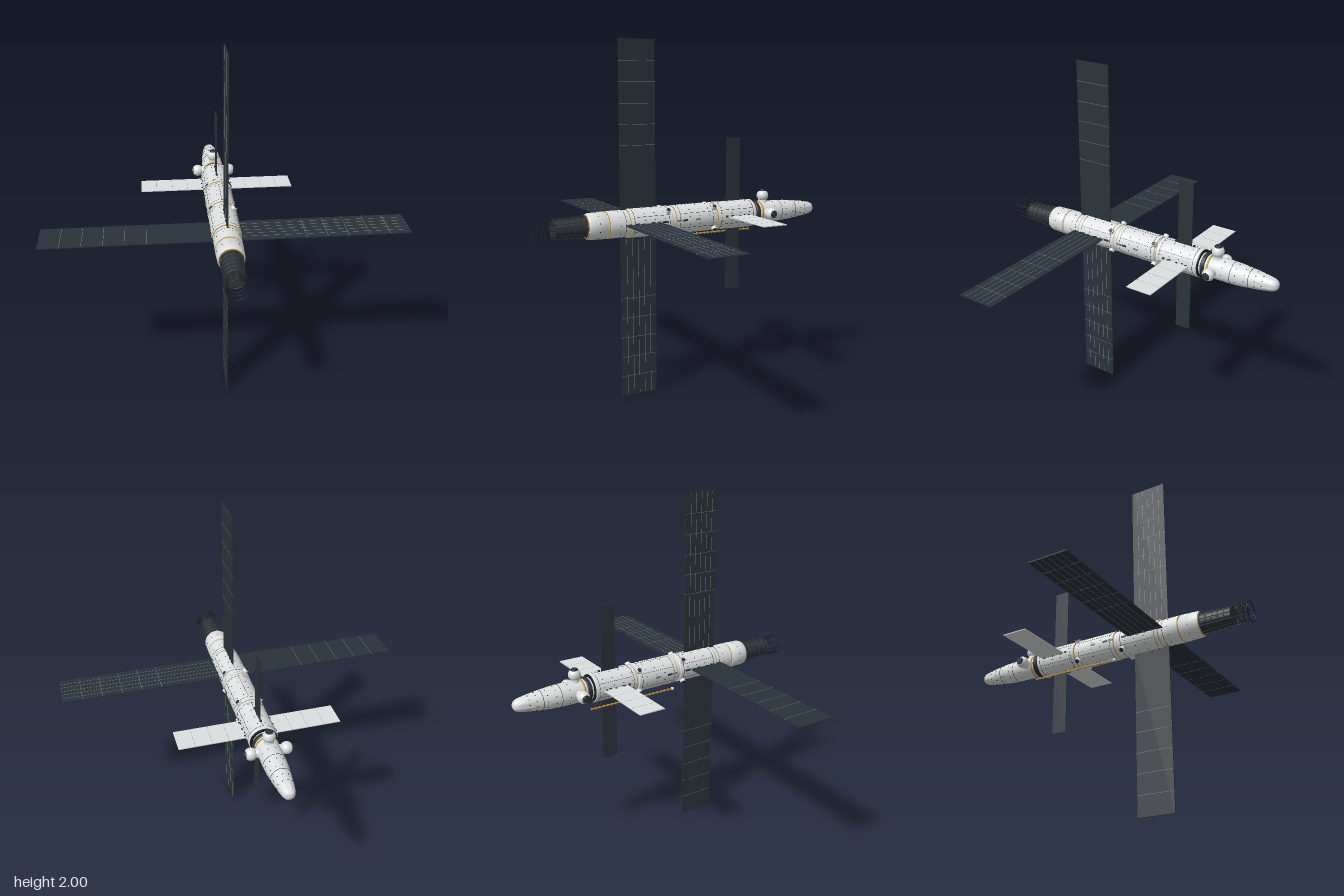
import * as THREE from 'three';
import { mergeGeometries, toCreasedNormals } from 'three/addons/utils/BufferGeometryUtils.js';

const mat = (name, color) => {
  const m = new THREE.MeshStandardMaterial({ color });
  m.name = name;
  return m;
};

export function createModel() {
  const white = mat('hullWhite', 0xdcdfdf), dark = mat('darkSlate', 0x2c3238),
    panel = mat('panelBlueBlack', 0x2a323a), line = mat('panelLine', 0x7c868a),
    gold = mat('goldTrim', 0xc0963c), black = mat('seamBlack', 0x1a1d20);

  const model = new THREE.Group();
  model.name = 'spaceStation';
  const station = new THREE.Group();
  station.name = 'station';
  station.position.y = 1;
  model.add(station);

  const add = (name, geo, m, parent = station) => {
    const mesh = new THREE.Mesh(geo, m);
    mesh.name = name;
    parent.add(mesh);
  };
  // Merge pieces, with or without an index, into one geometry
  const join = list => mergeGeometries(list.map(g => (g.index ? g.toNonIndexed() : g)));
  const box = (w, h, d, x, y, z) => new THREE.BoxGeometry(w, h, d).translate(x, y, z);
  // Surface of revolution about the z axis from [radius, z] pairs, z rising
  const turned = pts => toCreasedNormals(
    new THREE.LatheGeometry(pts.map(p => new THREE.Vector2(p[0], p[1])), 32).rotateX(Math.PI / 2), 0.6);
  const drum = (r, z0, z1, b = 0.004) =>
    turned([[0, z0], [r - b, z0], [r, z0 + b], [r, z1 - b], [r - b, z1], [0, z1]]);
  const hoop = (r, t, z) => new THREE.TorusGeometry(r, t, 6, 32).translate(0, 0, z);
  // Straight rod between two points
  const rod = (a, b, r) => new THREE.TubeGeometry(
    new THREE.LineCurve3(new THREE.Vector3(...a), new THREE.Vector3(...b)), 1, r, 5);
  // Short cylinder pointing along +x
  const stub = (rOut, rIn, h, x, z = 0) =>
    new THREE.CylinderGeometry(rOut, rIn, h, 20).rotateZ(-Math.PI / 2).translate(x, 0, z);
  // Copies of a piece set on the +x side, turned around the z axis
  const around = (make, n, start = 0) => Array.from({ length: n }, (_, i) =>
    make().rotateZ(start + i * Math.PI * 2 / n));

  // Nose with rounded tip
  add('noseModule', turned([[0, -0.89], [0.016, -0.887], [0.028, -0.878], [0.036, -0.86], [0.045, -0.81],
    [0.054, -0.74], [0.060, -0.68], [0.063, -0.62], [0.063, -0.43], [0, -0.43]]), white);
  add('noseBand', drum(0.069, -0.476, -0.45), dark);
  add('noseGoldRing', drum(0.0665, -0.497, -0.487, 0.001), gold);

  // Three main modules, each with a gold front end
  const modules = [[-0.435, -0.175], [-0.163, 0.092], [0.116, 0.372]];
  const seams = [], dots = [], trims = [];
  modules.forEach(([a, b]) => {
    add('mainModule', drum(0.082, a, b, 0.003), white);
    [a + 0.022, b - 0.022].forEach(z => seams.push(drum(0.0824, z - 0.001, z + 0.001, 0.0002)));
    trims.push(drum(0.0805, b - 0.004, b + 0.002, 0.0005));
    // Handrail studs
    for (let z = a + 0.05; z < b - 0.03; z += 0.06)
      dots.push(...around(() => box(0.002, 0.004, 0.005, 0.082, 0, z), 12, Math.PI / 12));
    // Long seams on the hull
    seams.push(...around(() => box(0.001, 0.0014, b - a - 0.05, 0.082, 0, (a + b) / 2), 6, Math.PI / 6));
  });
  add('moduleConnector', drum(0.074, -0.18, -0.16), white);
  add('moduleConnector', drum(0.076, 0.088, 0.12), white);

  // Rear service modules, stepped
  add('rearModule', drum(0.076, 0.37, 0.492), white);
  add('rearModuleRing', drum(0.069, 0.488, 0.506), white);
  add('rearModule', turned([[0, 0.5], [0.074, 0.5], [0.076, 0.504], [0.073, 0.595], [0.068, 0.608], [0, 0.608]]), white);
  trims.push(drum(0.0745, 0.488, 0.494, 0.0005), drum(0.067, 0.605, 0.61, 0.0005));
  seams.push(drum(0.0764, 0.398, 0.4, 0.0002), drum(0.0634, -0.63, -0.628, 0.0002),
    drum(0.0557, -0.735, -0.733, 0.0002), drum(0.0775, -0.441, -0.433, 0.0005));
  [[0.43, 0.076], [0.55, 0.0745], [-0.58, 0.063], [-0.66, 0.0615], [-0.71, 0.057], [-0.77, 0.0505],
    [-0.81, 0.0455]].forEach(([z, r], i) =>
    dots.push(...around(() => box(0.003, 0.004, 0.005, r, 0, z), 10, i * 0.3)));
  add('hullSeams', join(seams), black);
  add('handrails', join(dots), black);
  add('goldRings', join(trims), gold);

  // Dark engine section with hoops and rails
  add('trussCore', turned([[0, 0.6], [0.056, 0.6], [0.048, 0.79], [0, 0.79]]), dark);
  const frame = [];
  for (let i = 0; i < 6; i++) frame.push(hoop(0.061 - i * 0.0014, 0.003, 0.615 + i * 0.035));
  frame.push(...around(() => rod([0.062, 0, 0.605], [0.053, 0, 0.8], 0.0022), 10));
  add('trussFrame', join(frame), dark);
  // Open cage at the end
  const cage = [hoop(0.051, 0.002, 0.83), hoop(0.053, 0.002, 0.857), hoop(0.058, 0.0025, 0.886)];
  cage.push(...around(() => rod([0.051, 0, 0.79], [0.058, 0, 0.887], 0.0018), 10));
  add('endCage', join(cage), black);

  // Solar wings, cells on one face, same arrangement every quarter turn
  for (let q = 0; q < 4; q++) {
    const wing = new THREE.Group();
    wing.name = 'solarWing';
    wing.rotation.z = q * Math.PI / 2;
    station.add(wing);
    add('solarPanel', box(0.925, 0.006, 0.214, 0.5375, 0, 0.297), panel, wing);
    const grid = [];
    for (let i = 0; i < 5; i++) grid.push(box(0.002, 0.0068, 0.214, 0.885 - i * 0.114, 0, 0.297));
    for (let i = 1; i < 6; i++)
      grid.push(box(0.91, 0.001, 0.002, 0.5425, 0.003, 0.19 + i * 0.0355));
    add('panelGrid', join(grid), line, wing);
    add('wingHinge', join([0.21, 0.25, 0.295, 0.34, 0.38].map(z =>
      box(0.01, 0.013, 0.01, 0.087, 0, z))), dark, wing);

    // Smaller front wings: pale radiators sideways, dark panels upright
    const flat = q % 2 === 0;
    const w = flat ? 0.15 : 0.09;
    add(flat ? 'radiator' : 'smallPanel', box(0.377, 0.005, w, 0.2635, 0, -0.316), flat ? white : panel, wing);
    if (flat) add('radiatorSeams', join([0.175, 0.267, 0.36].map(x =>
      box(0.0012, 0.0056, w, x, 0, -0.316))), line, wing);
    add('smallHinge', join([-0.375, -0.316, -0.26].map(z =>
      box(0.008, 0.012, 0.01, 0.087, 0, z))), dark, wing);
  }

  // Docking spheres on the nose: left, top and right
  for (let q = 0; q < 3; q++) {
    const port = new THREE.Group();
    port.name = 'dockingPort';
    port.position.z = -0.525;
    port.rotation.z = q * Math.PI / 2;
    station.add(port);
    add('portNeck', stub(0.022, 0.028, 0.04, 0.072), white, port);
    add('portSphere', new THREE.SphereGeometry(0.035, 24, 16).translate(0.098, 0, 0), white, port);
    add('portRing', new THREE.TorusGeometry(0.02, 0.002, 6, 24).rotateY(Math.PI / 2).translate(0.127, 0, 0), black, port);
    add('portHatch', stub(0.016, 0.018, 0.006, 0.131), dark, port);
  }

  // Round thruster pods on the diagonals
  const pods = [], caps = [];
  [-0.155, 0.14].forEach(z => {
    pods.push(...around(() => stub(0.015, 0.018, 0.02, 0.086, z), 4, Math.PI / 4));
    caps.push(...around(() => stub(0.012, 0.012, 0.004, 0.0955, z), 4, Math.PI / 4));
  });
  add('thrusterPods', join(pods), white);
  add('thrusterCaps', join(caps), dark);

  // Small side windows, alternately dark and grey
  const windows = (list, name, m) => [1, -1].forEach(s =>
    add(name, join(list.map(([z, d]) => box(0.003, 0.011, d, s * 0.082, 0.003, z))), m));
  windows([[0.33, 0.012], [0.24, 0.02], [0.165, 0.035], [0.04, 0.03], [-0.23, 0.015], [-0.27, 0.015], [-0.35, 0.012]],
    'darkWindows', dark);
  windows([[0.2, 0.02], [-0.04, 0.03], [0.075, 0.03]], 'greyWindows', line);

  // Boom under the hull
  const boom = [rod([-0.046, -0.106, -0.46], [-0.046, -0.106, 0.08], 0.004)];
  const ticks = [];
  for (let z = -0.45; z < 0.08; z += 0.025) ticks.push(box(0.01, 0.012, 0.004, -0.046, -0.106, z));
  add('boom', join(boom), gold);
  add('boomTicks', join(ticks), gold);
  add('boomStruts', join([-0.39, -0.2, -0.02, 0.07].map(z =>
    rod([-0.046, -0.106, z], [-0.034, -0.07, z], 0.0025))), dark);
  add('boomTip', new THREE.SphereGeometry(0.01, 12, 8).translate(-0.046, -0.106, 0.08), white);

  return model;
}
